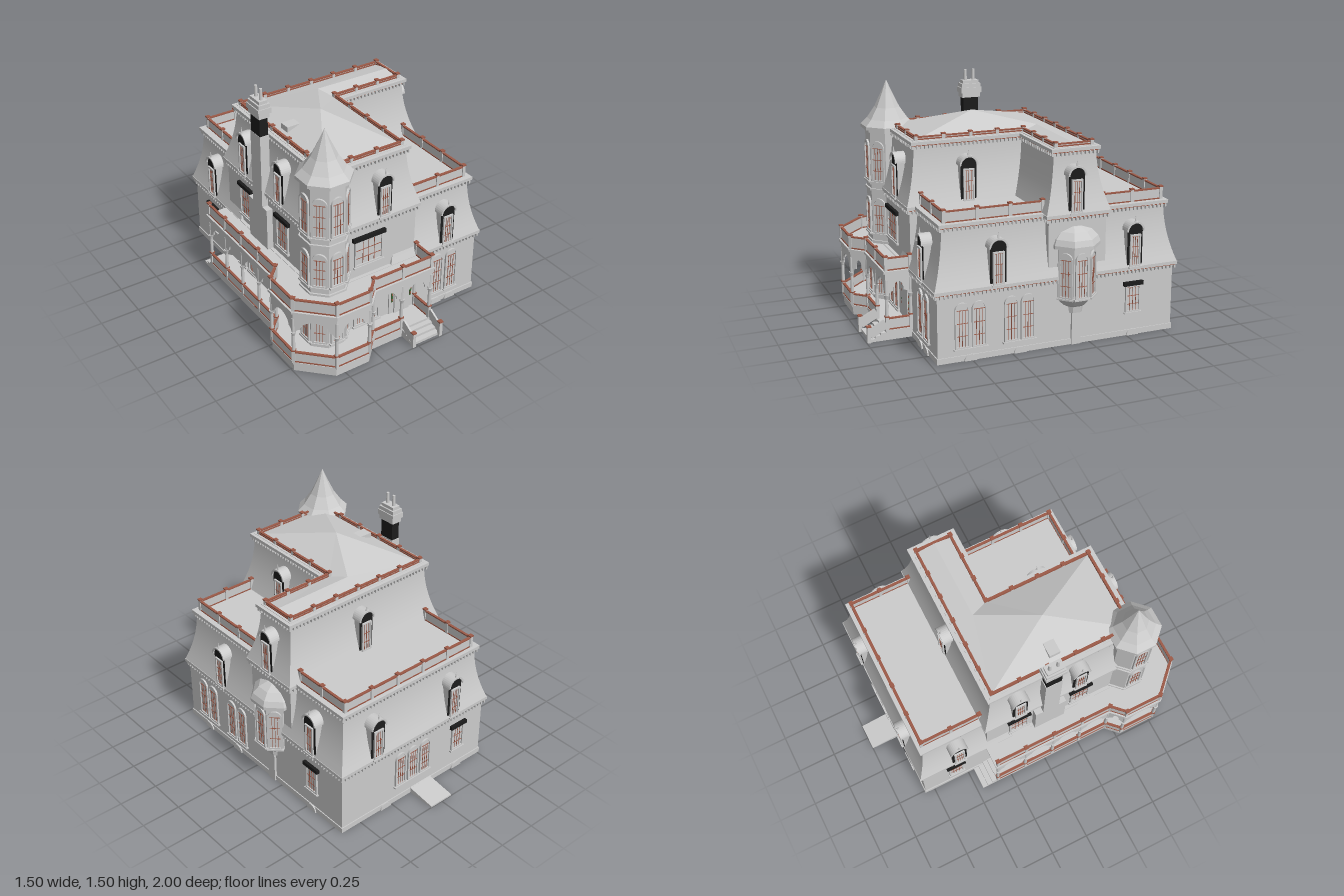
import * as THREE from 'three';
import { mergeGeometries } from 'three/addons/utils/BufferGeometryUtils.js';

const mat = (color, o = {}) => new THREE.MeshStandardMaterial({ color, ...o });
const GREY = mat(0xcccccc), FACET = mat(0xcccccc, { flatShading: true });
const RED = mat(0x9c5a48), DARK = mat(0x1c1c1c), GREEN = mat(0x3f6b3a);

export function createModel() {
  const house = new THREE.Group();
  house.name = 'house';
  const add = (geo, name, m = GREY, parent = house) => {
    const mesh = new THREE.Mesh(geo, m);
    mesh.name = name;
    parent.add(mesh);
    return mesh;
  };
  const boxGeo = (x0, x1, y0, y1, z0, z1) =>
    new THREE.BoxGeometry(x1 - x0, y1 - y0, z1 - z0).translate((x0 + x1) / 2, (y0 + y1) / 2, (z0 + z1) / 2);
  const box = (name, x0, x1, y0, y1, z0, z1, m, p) => add(boxGeo(x0, x1, y0, y1, z0, z1), name, m, p);
  const rect = (x0, x1, z0, z1) => [[x0, z0], [x1, z0], [x1, z1], [x0, z1]];
  const place = (o, x, y, z, a) => { o.position.set(x, y, z); o.rotation.y = a; house.add(o); return o; };
  const group = name => { const g = new THREE.Group(); g.name = name; return g; };

  // Moves every side of a plan outline outwards by d
  const offset = (pts, d) => pts.map((p, i) => {
    const n = pts.length, a = pts[(i + n - 1) % n], b = pts[(i + 1) % n];
    const nor = (u, v) => { const l = Math.hypot(v[0] - u[0], v[1] - u[1]); return [(v[1] - u[1]) / l, (u[0] - v[0]) / l]; };
    const m = nor(a, p), k = nor(p, b), s = d / (1 + m[0] * k[0] + m[1] * k[1]);
    return [p[0] + (m[0] + k[0]) * s, p[1] + (m[1] + k[1]) * s];
  });
  const slab = (name, pts, y0, y1, m) => {
    const s = new THREE.Shape(pts.map(p => new THREE.Vector2(p[0], -p[1])));
    const g = new THREE.ExtrudeGeometry(s, { depth: y1 - y0, bevelEnabled: false });
    return add(g.rotateX(-Math.PI / 2).translate(0, y0, 0), name, m);
  };
  // Concave mansard roof around an outline
  const mansard = (name, pts, y0, y1) => {
    const pos = [], idx = [], N = 8;
    const rings = Array.from({ length: N + 1 }, (_, j) => offset(pts, -0.05 + 0.07 * (1 - j / N) ** 2));
    pts.forEach((_, i) => {
      const k = (i + 1) % pts.length, s = pos.length / 3;
      rings.forEach((r, j) => {
        const y = y0 + (y1 - y0) * j / N;
        pos.push(r[i][0], y, r[i][1], r[k][0], y, r[k][1]);
        if (j < N) { const a = s + 2 * j; idx.push(a + 1, a, a + 2, a + 1, a + 2, a + 3); }
      });
    });
    const g = new THREE.BufferGeometry();
    g.setAttribute('position', new THREE.Float32BufferAttribute(pos, 3));
    g.setIndex(idx);
    g.computeVertexNormals();
    add(g, name);
    slab(name + 'Deck', offset(pts, -0.05), y1 - 0.02, y1);
  };
  // Visits points along a path at about the given spacing
  const walk = (pts, step, fn, ends = 1) => {
    for (let i = 0; i < pts.length - 1; i++) {
      const [a, b] = [pts[i], pts[i + 1]], L = Math.hypot(b[0] - a[0], b[1] - a[1]);
      const n = Math.max(1, Math.round(L / step)), ang = Math.atan2(a[1] - b[1], b[0] - a[0]);
      for (let j = 0; j < n + (i === pts.length - 2 ? ends : 0); j++)
        fn(a[0] + (b[0] - a[0]) * j / n, a[1] + (b[1] - a[1]) * j / n, ang, L / n, j < n);
    }
  };
  const cornice = (name, pts, y) => {
    slab(name, offset(pts, 0.022), y - 0.012, y + 0.008);
    slab(name + 'Trim', offset(pts, 0.012), y - 0.02, y - 0.012, RED);
    const e = offset(pts, 0.008), parts = [];
    walk([...e, e[0]], 0.026, (x, z, a) =>
      parts.push(new THREE.BoxGeometry(0.009, 0.02, 0.018).rotateY(a).translate(x, y - 0.027, z)), 0);
    add(mergeGeometries(parts), name + 'Brackets');
  };
  // Parapet railing: panel, cap rail and posts
  const railing = (name, pts, y0, y1, step, skip = () => false) => {
    const panel = [], cap = [], post = [], tip = [], h = y1 - y0;
    walk(pts, step, (x, z, a, L, seg) => {
      post.push(new THREE.BoxGeometry(0.02, h + 0.006, 0.02).rotateY(a).translate(x, y0 + h / 2, z));
      tip.push(new THREE.BoxGeometry(0.026, 0.008, 0.026).rotateY(a).translate(x, y1 + 0.006, z));
      if (!seg || skip(x, z)) return;
      const bar = (yc, t, d) => new THREE.BoxGeometry(L, t, d).translate(L / 2, 0, 0).rotateY(a).translate(x, yc, z);
      panel.push(bar(y0 + h / 2, h * 0.8, 0.007));
      cap.push(bar(y1 - 0.006, 0.008, 0.016), bar(y0 + 0.006, 0.008, 0.014));
    });
    add(mergeGeometries(panel), name + 'Panels');
    add(mergeGeometries(cap), name + 'Rails', RED);
    add(mergeGeometries(post), name + 'Posts');
    add(mergeGeometries(tip), name + 'Caps', RED);
  };

  const outline = (w, h, arched, T = THREE.Shape) => {
    const s = new T(), r = w / 2;
    s.moveTo(-r, 0); s.lineTo(r, 0);
    if (arched) { s.lineTo(r, h - r); s.absarc(0, h - r, r, 0, Math.PI, false); }
    else { s.lineTo(r, h); s.lineTo(-r, h); }
    s.closePath();
    return s;
  };
  const ext = (s, depth) => new THREE.ExtrudeGeometry(s, { depth, bevelEnabled: false, curveSegments: 8 });
  // Sash window facing +z, base at its origin
  const windowUnit = (w, h, arched = true, header = false) => {
    const g = group('window'), f = outline(w, h, arched), bars = [];
    f.holes.push(outline(w - 0.02, h - 0.02, arched, THREE.Path));
    f.holes[0].curves.forEach(c => { for (const k of ['v1', 'v2']) if (c[k]) c[k].y += 0.01; if (c.aY !== undefined) c.aY += 0.01; });
    add(ext(f, 0.012), 'windowFrame', GREY, g);
    add(ext(outline(w - 0.01, h - 0.01, arched), 0.004), 'windowPane', GREY, g);
    const top = arched ? h - w / 2 : h - 0.01;
    for (const x of [-0.2, 0, 0.2]) bars.push(boxGeo(x * w - 0.0012, x * w + 0.0012, 0.01, top, 0.003, 0.007));
    for (const t of [0.33, 0.66, 1]) bars.push(boxGeo(0.01 - w / 2, w / 2 - 0.01, top * t - 0.004, top * t - 0.001, 0.003, 0.007));
    add(mergeGeometries(bars), 'glazingBars', RED, g);
    box('sill', -w / 2 - 0.008, w / 2 + 0.008, -0.01, 0, 0, 0.018, GREY, g);
    if (header) box('header', -w / 2 - 0.015, w / 2 + 0.015, h, h + 0.025, 0, 0.02, DARK, g);
    return g;
  };
  const dormer = (x, y, z, a) => {
    const g = group('dormer');
    add(ext(outline(0.1, 0.27, true), 0.11).translate(0, 0, -0.11), 'dormerBody', GREY, g);
    add(ext(outline(0.1, 0.27, true), 0.003), 'dormerFace', DARK, g);
    const hood = new THREE.Shape();
    hood.absarc(0, 0.22, 0.06, 0, Math.PI, false);
    hood.absarc(0, 0.22, 0.049, Math.PI, 0, true);
    add(ext(hood, 0.13).translate(0, 0, -0.115), 'dormerHood', GREY, g);
    add(new THREE.ConeGeometry(0.007, 0.045, 6).translate(0, 0.3, 0.005), 'finial', GREY, g);
    const w = windowUnit(0.07, 0.2, false);
    w.position.z = 0.002;
    g.add(w);
    place(g, x + Math.sin(a) * 0.012, y, z + Math.cos(a) * 0.012, a);
  };
  // Eight-sided turned form from [apothem, height] pairs
  const octagon = (name, profile, x, z) => add(new THREE.LatheGeometry(
    profile.map(p => new THREE.Vector2(p[0] / Math.cos(Math.PI / 8), p[1])), 8, Math.PI / 8).translate(x, 0, z), name, FACET);

  // Walls and roofs
  const Q = Math.PI / 2, base = rect(-0.51, 0.64, -0.81, 0.71);
  const ell = [[-0.51, -0.35], [0.64, -0.35], [0.64, 0.02], [0.16, 0.02], [0.16, 0.71], [-0.51, 0.71]];
  slab('groundFloorWalls', base, 0, 0.44);
  slab('plinth', offset(base, 0.006), 0, 0.035);
  cornice('groundCornice', base, 0.435);
  slab('upperWalls', ell, 0.44, 0.82);
  cornice('upperCornice', ell, 0.81);
  mansard('rearMansard', rect(-0.51, 0.64, -0.81, -0.2), 0.44, 0.82);
  mansard('frontMansard', rect(0.0, 0.64, -0.15, 0.71), 0.44, 0.82);
  mansard('upperMansard', ell, 0.82, 1.2);
  cornice('topCornice', offset(ell, -0.05), 1.19);
  cornice('rearRoofCornice', rect(-0.46, 0.59, -0.76, -0.25), 0.815);
  cornice('frontRoofCornice', rect(0.05, 0.59, -0.1, 0.66), 0.815);
  const top = offset(ell, -0.07);
  railing('topParapet', [...top, top[0]], 1.2, 1.225, 0.18);
  railing('rearParapet', [[-0.43, -0.36], [-0.43, -0.75], [0.57, -0.75], [0.57, -0.36]], 0.82, 0.895, 0.19);
  railing('frontParapet', [[0.17, 0.64], [0.57, 0.64], [0.57, 0.03]], 0.82, 0.895, 0.2);

  // Low hipped roof over the L plan, plus its hatch
  const v = [...top.map(p => [p[0], 1.2, p[1]]), [-0.17, 1.305, 0.19], [0.04, 1.226, -0.16], [0.57, 1.222, -0.16]];
  const hip = new THREE.BufferGeometry();
  hip.setAttribute('position', new THREE.Float32BufferAttribute(v.flat(), 3));
  hip.setIndex([0, 5, 6, 5, 4, 6, 4, 3, 6, 3, 7, 6, 0, 6, 7, 0, 7, 1, 1, 7, 8, 3, 2, 8, 3, 8, 7, 1, 8, 2]);
  hip.computeVertexNormals();
  add(hip, 'hippedRoof', mat(0xcccccc, { flatShading: true, side: THREE.DoubleSide }));
  box('roofHatch', -0.4, -0.31, 1.2, 1.25, 0.12, 0.19);

  // Corner tower
  const tx = -0.45, tz = 0.655, ap = 0.13;
  octagon('tower', [[ap, 0], [ap, 1.18]], tx, tz);
  for (const y of [0.45, 0.79, 0.83, 1.165]) octagon('towerBand', [[ap, y], [ap + 0.01, y], [ap + 0.01, y + 0.012], [ap, y + 0.012]], tx, tz);
  octagon('towerRoof', [[0, 1.18], [0.155, 1.18], [0.155, 1.2], [0.118, 1.24], [0.073, 1.31], [0.033, 1.4], [0, 1.48]], tx, tz);
  for (const a of [Q / 2, 0, -Q / 2, -Q]) for (const [y, h] of [[0.1, 0.27], [0.51, 0.23], [0.85, 0.26]])
    place(windowUnit(0.09, h), tx + ap * Math.sin(a), y, tz + ap * Math.cos(a), a);

  // Oriel on the left side
  octagon('oriel', [[0, 0.2], [0.06, 0.2], [0.065, 0.24], [0.085, 0.255], [0.12, 0.3], [0.12, 0.61], [0.148, 0.615],
    [0.148, 0.635], [0.135, 0.67], [0.1, 0.71], [0.05, 0.735], [0, 0.74]], 0.597, -0.16);
  box('orielPilaster', 0.63, 0.655, 0, 0.2, -0.19, -0.13);
  for (const a of [Q / 2, Q, Q * 1.5])
    place(windowUnit(0.085, 0.28), 0.597 + 0.12 * Math.sin(a), 0.31, -0.16 + 0.12 * Math.cos(a), a);

  // Dormers: x, z, facing
  for (const [x, z, a] of [[0.4, 0.71, 0], [0.64, 0.34, Q], [0.64, -0.54, Q], [-0.24, -0.81, 2 * Q], [0.38, -0.81, 2 * Q], [-0.51, -0.55, -Q]])
    dormer(x, 0.445, z, a);
  for (const [x, z, a] of [[-0.08, 0.71, 0], [-0.51, -0.13, -Q], [-0.51, 0.28, -Q], [0.07, -0.35, 2 * Q], [0.64, -0.15, Q], [0.16, 0.34, Q]])
    dormer(x, 0.822, z, a);

  // Wall windows
  for (const x of [0.345, 0.455, -0.235, -0.14]) place(windowUnit(0.09, 0.29), x, 0.08, 0.71, 0);
  for (const z of [0.56, 0.455, 0.255, 0.15]) place(windowUnit(0.09, 0.28), 0.64, 0.08, z, Q);
  for (const z of [-0.2, -0.08, 0.25, 0.37]) place(windowUnit(0.09, 0.28), -0.51, 0.09, z, -Q);
  for (const x of [-0.02, 0.08, 0.18]) place(windowUnit(0.085, 0.24), x, 0.12, -0.81, 2 * Q);
  place(windowUnit(0.1, 0.17, false, true), 0.64, 0.15, -0.54, Q);
  place(windowUnit(0.1, 0.17, false, true), -0.51, 0.15, -0.58, -Q);
  place(windowUnit(0.1, 0.17, false, true), -0.3, 0.15, -0.81, 2 * Q);
  place(windowUnit(0.2, 0.18, false, true), -0.18, 0.52, 0.71, 0);
  for (const z of [-0.13, 0.3]) place(windowUnit(0.13, 0.2, false, true), -0.51, 0.5, z, -Q);
  for (const [x, z, a] of [[0.345, 0.716, 0], [0.455, 0.716, 0], [0.646, 0.51, Q], [0.646, 0.2, Q], [0.646, -0.54, Q], [0.3, -0.816, 2 * Q], [-0.3, -0.816, 2 * Q]])
    place(add(ext(outline(0.08, 0.04, true).setFromPoints([[-0.04, 0], [0.04, 0], [0.03, 0.025], [0, 0.035], [-0.03, 0.025]].map(p => new THREE.Vector2(...p))), 0.008), 'cellarWindow'), x, 0, z, a);

  // Front door with coloured side lights
  box('doorSurround', -0.02, 0.16, 0.06, 0.33, 0.7, 0.718);
  box('door', 0.015, 0.125, 0.065, 0.29, 0.71, 0.728);
  for (const x of [-0.006, 0.132]) {
    box('sideLight', x, x + 0.014, 0.15, 0.31, 0.71, 0.722, GREEN);
    for (let y = 0.16; y < 0.3; y += 0.04) box('sideLightPane', x + 0.003, x + 0.011, y, y + 0.015, 0.71, 0.725, RED);
  }
  box('fanlight', 0.01, 0.13, 0.295, 0.312, 0.71, 0.722, RED);

  // Wraparound porch
  const edge = [[-0.66, -0.35], [-0.66, 0.45], [-0.74, 0.53], [-0.74, 0.77], [-0.56, 0.95], [-0.33, 0.95], [-0.25, 0.87], [0.17, 0.87], [0.17, 0.72]];
  const plan = [...edge, [0.17, 0.6], [-0.5, 0.6], [-0.5, -0.35]].reverse();
  slab('porchBase', plan, 0, 0.05);
  slab('porchFloor', offset(plan, 0.008), 0.05, 0.065);
  slab('porchRoof', offset(plan, 0.006), 0.385, 0.425);
  slab('porchEaves', offset(plan, 0.018), 0.425, 0.44);
  railing('balcony', edge, 0.44, 0.525, 0.21);
  railing('porchRail', edge, 0.065, 0.145, 0.21, (x, z) => x > -0.1 && z > 0.86 && x < 0.1);
  const cols = [], arches = [];
  walk(edge, 0.21, (x, z, a, L, seg) => {
    cols.push(new THREE.CylinderGeometry(0.009, 0.011, 0.24, 8).translate(x, 0.265, z),
      new THREE.CylinderGeometry(0.017, 0.01, 0.025, 8).translate(x, 0.275, z));
    if (!seg) return;
    const s = new THREE.Shape(), k = Math.min(0.03, L * 0.2), e = 0.012;
    s.moveTo(0, 0.388); s.lineTo(0, 0.27); s.lineTo(e, 0.27);
    s.quadraticCurveTo(e, 0.31, e + k, 0.31);
    s.absellipse(L / 2, 0.31, L / 2 - e - k, 0.06, Math.PI, 0, true);
    s.quadraticCurveTo(L - e, 0.31, L - e, 0.27);
    s.lineTo(L, 0.27); s.lineTo(L, 0.388);
    arches.push(ext(s, 0.01).translate(0, 0, -0.005).rotateY(a).translate(x, 0, z));
  });
  add(mergeGeometries(cols), 'porchColumns');
  add(mergeGeometries(arches), 'porchArches');

  // Steps at the front and at the rear end of the porch
  for (let i = 0; i < 3; i++) {
    const y = 0.05 - i * 0.016;
    box('frontStep', -0.03, 0.17, 0, y, 0.86, 0.91 + i * 0.035);
    box('sideStep', -0.66, -0.51, 0, y, -0.39 - i * 0.035, -0.34);
  }
  for (const x of [-0.03, 0.17]) {
    const r = box('stepRail', -0.006, 0.006, -0.03, 0.03, -0.06, 0.06);
    r.position.set(x, 0.08, 0.93);
    r.rotation.x = 0.5;
    box('stepPost', x - 0.011, x + 0.011, 0, 0.1, 0.975, 0.997);
    box('stepPostCap', x - 0.014, x + 0.014, 0.1, 0.108, 0.972, 1, RED);
  }

  // Sloping cellar hatch at the back
  const wedge = new THREE.Shape([[-0.8, 0], [-0.8, 0.037], [-1, 0.01], [-1, 0]].map(p => new THREE.Vector2(...p)));
  add(ext(wedge, 0.17).rotateY(-Q).translate(0.09, 0, 0), 'cellarHatch');

  // Chimney
  box('chimneyBreast', -0.55, -0.5, 0.44, 0.72, -0.03, 0.18);
  box('chimneyStack', -0.55, -0.49, 0.72, 1.2, 0.02, 0.13);
  box('chimneyShaft', -0.548, -0.492, 1.2, 1.33, 0.025, 0.125, DARK);
  [[0.006, 1.32, 1.35], [0.014, 1.35, 1.385], [0.008, 1.385, 1.41], [-0.002, 1.41, 1.43]].forEach(([d, y0, y1]) =>
    box('chimneyCap', -0.55 - d, -0.49 + d, y0, y1, 0.02 - d, 0.13 + d));
  for (const z of [0.048, 0.102])
    add(new THREE.CylinderGeometry(0.009, 0.011, 0.07, 10).translate(-0.52, 1.465, z), 'chimneyPot');
  return house;
}
